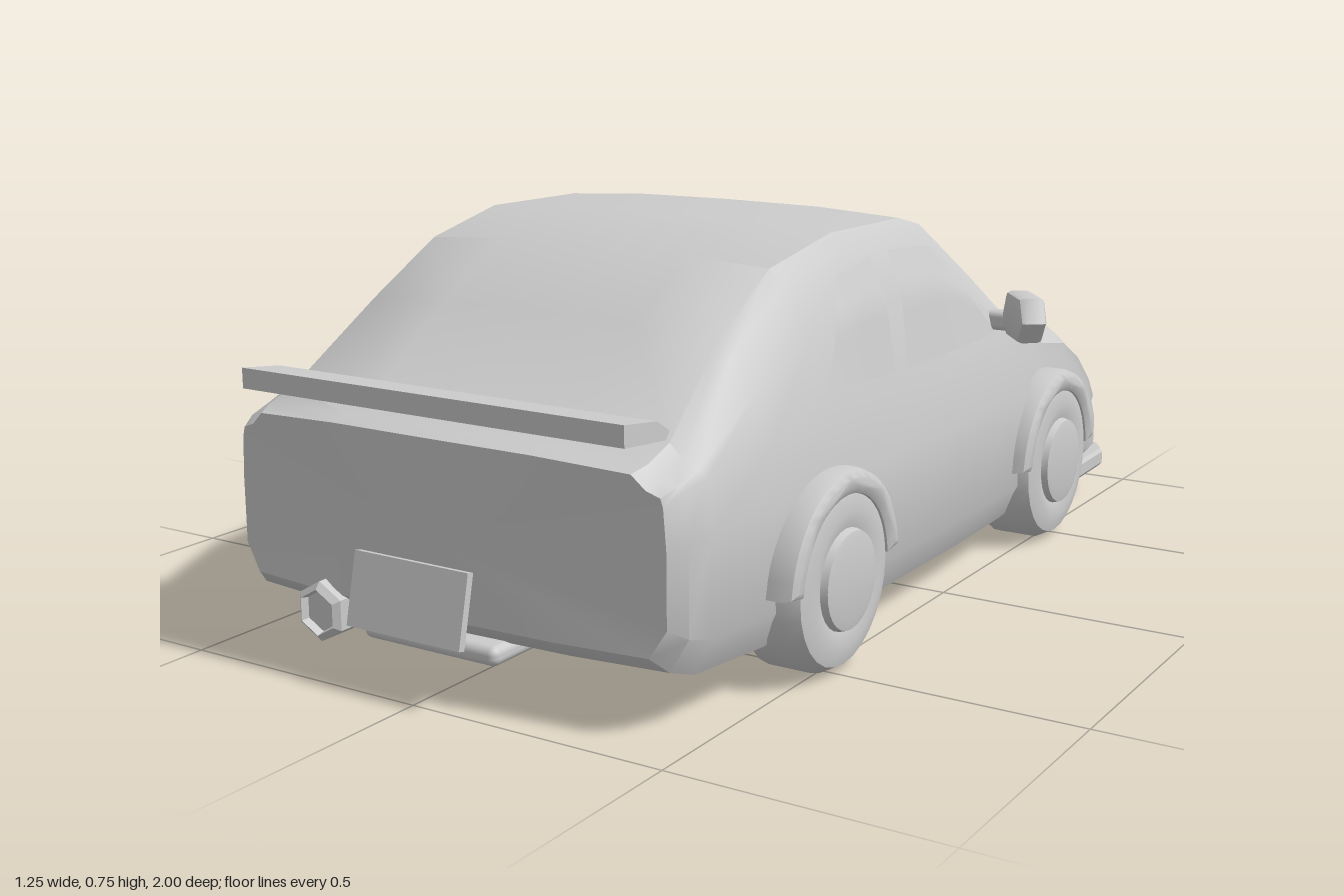
import * as THREE from 'three';
import { toCreasedNormals } from 'three/addons/utils/BufferGeometryUtils.js';
import { RoundedBoxGeometry } from 'three/addons/geometries/RoundedBoxGeometry.js';

const grey = new THREE.MeshStandardMaterial({ color: 0xcccccc });
const greyDouble = new THREE.MeshStandardMaterial({ color: 0xcccccc, side: THREE.DoubleSide });

// Body stations, tail (+z) to nose (-z):
// z, floor y, half width, belt y, belt half width, top y, top half width, corner bow in z
const STATIONS = [
  [0.95, 0.14, 0.455, 0.39, 0.45, 0.45, 0.42, -0.03],
  [0.92, 0.11, 0.475, 0.41, 0.465, 0.46, 0.43, -0.03],
  [0.83, 0.09, 0.485, 0.42, 0.475, 0.482, 0.43, 0],
  [0.64, 0.08, 0.50, 0.43, 0.48, 0.615, 0.405, 0],
  [0.47, 0.078, 0.515, 0.44, 0.495, 0.71, 0.40, 0],
  [0.27, 0.075, 0.525, 0.45, 0.495, 0.75, 0.41, 0],
  [0, 0.075, 0.525, 0.45, 0.495, 0.747, 0.41, 0],
  [-0.09, 0.075, 0.525, 0.45, 0.495, 0.725, 0.41, 0],
  [-0.27, 0.075, 0.52, 0.44, 0.49, 0.602, 0.435, 0],
  [-0.45, 0.075, 0.51, 0.40, 0.485, 0.477, 0.455, 0],
  [-0.64, 0.075, 0.50, 0.365, 0.48, 0.445, 0.455, 0],
  [-0.76, 0.075, 0.49, 0.32, 0.475, 0.393, 0.455, 0.02],
  [-0.88, 0.08, 0.48, 0.26, 0.47, 0.325, 0.45, 0.05],
  [-0.965, 0.085, 0.465, 0.21, 0.455, 0.27, 0.44, 0.07],
  [-0.978, 0.09, 0.45, 0.19, 0.44, 0.24, 0.425, 0.075],
];

// Half cross-section from floor centre, round the +x side, to top centre
function halfSection([z, yb, w, yBelt, wBelt, yTop, wTop, bow]) {
  const l = THREE.MathUtils.lerp, glass = yTop - 0.035;
  return [
    [0, yb], [0.55 * w, yb], [0.93 * w, yb], [w, l(yb, yBelt, 0.2)], [w, l(yb, yBelt, 0.72)],
    [wBelt, yBelt], [l(wBelt, wTop, 0.55) + 0.012, l(yBelt, glass, 0.6)],
    [wTop, glass], [wTop - 0.025, yTop - 0.012], [0.21, yTop - 0.002], [0, yTop],
  ].map(([x, y]) => new THREE.Vector3(x, y, z + bow * (x / 0.43) ** 2));
}

const flip = v => new THREE.Vector3(-v.x, v.y, v.z);

function meshFrom(name, tris, crease, material) {
  const g = new THREE.BufferGeometry().setFromPoints(tris);
  g.computeVertexNormals();
  const m = new THREE.Mesh(toCreasedNormals(g, crease), material);
  m.name = name;
  return m;
}

const quad = (out, a, b, c, d) => out.push(a, b, c, a, c, d);

// Lofted shell, with two openings left for the headlights
const LIGHT_STATION = 12;
function buildBody() {
  const rings = STATIONS.map(s => {
    const h = halfSection(s);
    return [...h, ...h.slice(1, -1).reverse().map(flip)];
  });
  const n = rings[0].length, tris = [];
  for (let i = 0; i < rings.length - 1; i++) {
    for (let j = 0; j < n; j++) {
      if (i === LIGHT_STATION && (j === 8 || j === 11)) continue;
      const k = (j + 1) % n;
      quad(tris, rings[i][j], rings[i + 1][j], rings[i + 1][k], rings[i][k]);
    }
  }
  const tail = rings[0], nose = rings.at(-1);
  const tailMid = new THREE.Vector3(0, 0.28, 0.953), noseMid = new THREE.Vector3(0, 0.17, -0.982);
  for (let j = 0; j < n; j++) {
    const k = (j + 1) % n;
    tris.push(tailMid, tail[j], tail[k], noseMid, nose[k], nose[j]);
  }
  return meshFrom('body', tris, 0.65, grey);
}

// Recessed pocket: level floor, upright back wall, triangular cheeks
function buildHeadlight(side) {
  const fix = v => (side > 0 ? v : flip(v));
  const back = halfSection(STATIONS[LIGHT_STATION]), front = halfSection(STATIONS[LIGHT_STATION + 1]);
  const [r0, r1, f0, f1] = [back[8], back[9], front[8], front[9]].map(fix);
  const d0 = r0.clone().setY(f0.y - 0.005), d1 = r1.clone().setY(f1.y - 0.005);
  const tris = [];
  quad(tris, f0, f1, d1, d0);
  quad(tris, d0, d1, r1, r0);
  tris.push(f0, d0, r0, f1, r1, d1);
  return meshFrom('headlightRecess', tris, 0.3, greyDouble);
}

// Half width of the cabin side at a given z and height
function sideX(z, y) {
  let i = 0;
  while (i < STATIONS.length - 2 && STATIONS[i + 1][0] > z) i++;
  const a = STATIONS[i], b = STATIONS[i + 1], t = (a[0] - z) / (a[0] - b[0]);
  const p = halfSection(a.map((v, k) => THREE.MathUtils.lerp(v, b[k], t)));
  let j = 4;
  while (j < 7 && p[j + 1].y < y) j++;
  return THREE.MathUtils.mapLinear(y, p[j].y, p[j + 1].y, p[j].x, p[j + 1].x);
}

// Window pane laid over the cabin side; corners are [z, y]
function buildWindow(name, [a, b, c, d], side) {
  const N = 8, tris = [], l = THREE.MathUtils.lerp;
  const at = (u, v) => {
    const z = l(l(a[0], b[0], u), l(d[0], c[0], u), v);
    const y = l(l(a[1], b[1], u), l(d[1], c[1], u), v);
    return new THREE.Vector3(side * (sideX(z, y) + 0.003), y, z);
  };
  for (let i = 0; i < N; i++) for (let j = 0; j < N; j++) {
    quad(tris, at(i / N, j / N), at((i + 1) / N, j / N), at((i + 1) / N, (j + 1) / N), at(i / N, (j + 1) / N));
  }
  return meshFrom(name, tris, 0.6, greyDouble);
}

const polygon = pts => new THREE.Shape(pts.map(p => new THREE.Vector2(...p)));

export function createModel() {
  const car = new THREE.Group();
  car.name = 'car';
  const add = (name, geometry, x = 0, y = 0, z = 0) => {
    const m = new THREE.Mesh(geometry, grey);
    m.name = name;
    m.position.set(x, y, z);
    car.add(m);
    return m;
  };
  car.add(buildBody());

  // Tyre with hub cap, turned about the axle
  const wheel = toCreasedNormals(new THREE.LatheGeometry([
    [0, 0.415], [0.16, 0.415], [0.17, 0.43], [0.17, 0.51], [0.155, 0.538], [0.12, 0.547],
    [0.092, 0.54], [0.088, 0.553], [0.07, 0.557], [0, 0.557],
  ].map(p => new THREE.Vector2(...p)), 28).rotateZ(-Math.PI / 2), 0.6);

  // Wheel arch flare
  const arch = new THREE.Shape();
  arch.absarc(0, 0, 0.182, 0.15, Math.PI - 0.15, false);
  arch.absarc(0, 0, 0.165, Math.PI - 0.15, 0.15, true);
  const flare = toCreasedNormals(new THREE.ExtrudeGeometry(arch, {
    depth: 0.06, bevelEnabled: true, bevelThickness: 0.025, bevelSize: 0.016, bevelSegments: 2, curveSegments: 16,
  }).rotateY(Math.PI / 2), 0.7);

  // Door mirror housing
  const housing = toCreasedNormals(new THREE.ExtrudeGeometry(
    polygon([[-0.065, -0.01], [-0.04, -0.034], [0.04, -0.034], [0.065, 0], [0.045, 0.036], [-0.04, 0.036]]),
    { depth: 0.03, bevelThickness: 0.012, bevelSize: 0.01, bevelSegments: 2 }).translate(0, 0, -0.015), 0.6);

  for (const s of [1, -1]) {
    const turn = s > 0 ? 0 : Math.PI;
    for (const [end, z] of [['rear', 0.485], ['front', -0.475]]) {
      add(end + 'Wheel', wheel, 0, 0.17, z).rotation.y = turn;
      add(end + 'WheelArch', flare, s * 0.465, 0.168, z).rotation.y = turn;
    }
    add('doorMirror', housing, s * 0.562, 0.525, -0.212).rotation.y = -s * 0.9;
    add('mirrorArm', new RoundedBoxGeometry(0.07, 0.04, 0.04, 2, 0.012), s * 0.495, 0.505, -0.262);
    car.add(buildHeadlight(s));
    car.add(buildWindow('doorWindow', [[-0.25, 0.48], [0.16, 0.48], [0.12, 0.69], [-0.05, 0.68]], s));
    car.add(buildWindow('quarterWindow', [[0.21, 0.48], [0.45, 0.49], [0.33, 0.67], [0.19, 0.69]], s));
  }

  // Tail spoiler, side profile swept across the car
  const wing = polygon([[-0.955, 0.487], [-0.84, 0.476], [-0.83, 0.49], [-0.865, 0.512], [-0.955, 0.524]]);
  add('spoiler', new THREE.ExtrudeGeometry(wing, { depth: 0.81, bevelEnabled: false })
    .rotateY(Math.PI / 2).translate(-0.405, 0, 0));

  // Chin lip following the nose outline
  const halfLip = [[0.495, 0.66], [0.49, 0.86], [0.465, 0.905], [0.38, 0.95], [0.14, 0.99]];
  const lip = polygon([...halfLip, ...halfLip.map(([x, y]) => [-x, y]).reverse()]);
  add('frontLip', new THREE.ExtrudeGeometry(lip, {
    depth: 0.025, bevelThickness: 0.008, bevelSize: 0.006, bevelSegments: 1,
  }).rotateX(-Math.PI / 2), 0, 0.073, 0);

  // Bonnet scoop
  const scoop = polygon([[-0.39, 0.54], [-0.24, 0.545], [-0.22, 0.58], [-0.22, 0.675], [-0.39, 0.675]]);
  add('bonnetScoop', new THREE.ExtrudeGeometry(scoop, { depth: 0.07, bevelEnabled: false })
    .rotateX(-Math.PI / 2), 0, 0.397, 0);

  // Plates
  add('rearPlate', new THREE.BoxGeometry(0.245, 0.13, 0.014), -0.017, 0.177, 0.982).rotation.x = -0.22;
  add('frontPlate', new THREE.BoxGeometry(0.245, 0.115, 0.02), -0.017, 0.178, -0.986);

  // Exhaust and under-tail tray
  const pipe = [[0.03, 0], [0.055, 0], [0.055, 0.19], [0.042, 0.2], [0.038, 0.185], [0, 0.185]];
  add('exhaust', toCreasedNormals(new THREE.LatheGeometry(pipe.map(p => new THREE.Vector2(...p)), 6)
    .rotateY(Math.PI / 6).rotateX(Math.PI / 2).rotateZ(Math.PI / 6), 0.3), -0.245, 0.107, 0.765);
  add('rearTray', new RoundedBoxGeometry(0.29, 0.035, 0.2, 3, 0.015), 0, 0.096, 0.86);
  return car;
}
